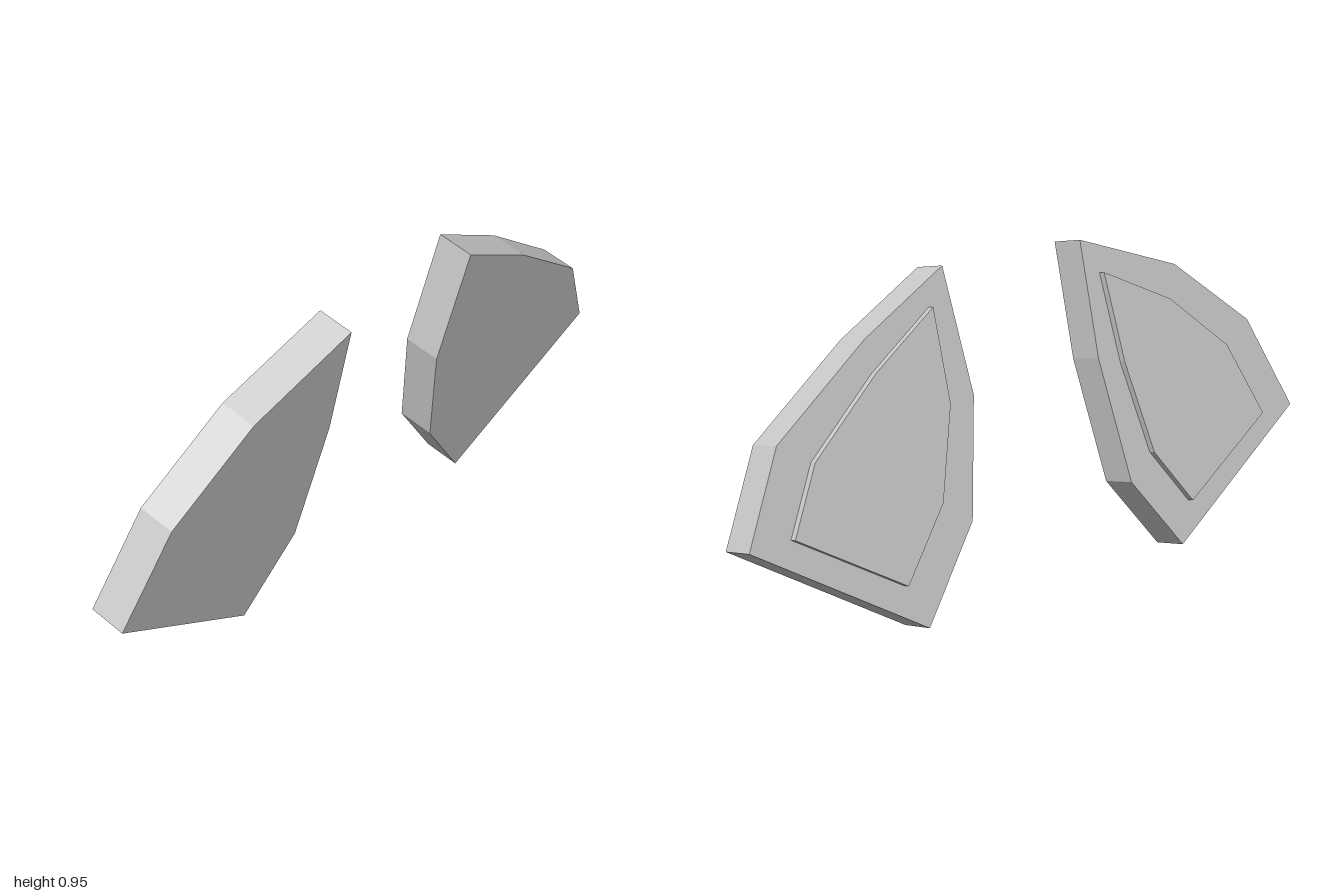
import * as THREE from 'three';

const TILT = THREE.MathUtils.degToRad(12.05);
const THICK = 0.11;  // depth of each main plate
const RAISE = 0.02;  // height of the raised panel on the back

// Outlines as seen from the front, [x, y]
const LEFT = {
  plate: [[0.475, 0.003], [1, 0.32], [0.87, 0.568], [0.55, 0.785], [0.26, 0.935], [0.215, 0.58], [0.28, 0.25]],
  panel: [[0.538, 0.155], [0.87, 0.35], [0.774, 0.53], [0.543, 0.718], [0.325, 0.857], [0.313, 0.597], [0.385, 0.344]],
};
const RIGHT = {
  plate: [[-0.48, 0.018], [-1, 0.335], [-0.86, 0.615], [-0.592, 0.817], [-0.24, 0.935], [-0.25, 0.6], [-0.312, 0.235]],
  panel: [[-0.525, 0.162], [-0.858, 0.358], [-0.744, 0.58], [-0.539, 0.747], [-0.297, 0.858], [-0.33, 0.6], [-0.398, 0.328]],
};

// Slab whose outline lies `depth` behind the front plane; spans local z from back to front
function slab(name, outline, depth, back, front, material) {
  const points = outline.map(([x, y]) =>
    new THREE.Vector2(x, (y - depth * Math.sin(TILT)) / Math.cos(TILT)));
  const geometry = new THREE.ExtrudeGeometry(new THREE.Shape(points), { depth: front - back, bevelEnabled: false });
  geometry.translate(0, 0, back);
  const mesh = new THREE.Mesh(geometry, material);
  mesh.name = name;
  return mesh;
}

export function createModel() {
  const model = new THREE.Group();
  model.name = 'platePair';
  const material = new THREE.MeshStandardMaterial({ color: 0xcccccc, flatShading: true });

  // Two faceted plates leaning forward, each with a raised panel behind
  for (const [side, shape] of [['left', LEFT], ['right', RIGHT]]) {
    const group = new THREE.Group();
    group.name = side + 'Assembly';
    group.add(
      slab(side + 'Plate', shape.plate, 0, -THICK, 0, material),
      slab(side + 'BackPanel', shape.panel, THICK, -THICK - RAISE, -THICK + 0.01, material),
    );
    group.rotation.x = TILT;
    group.position.z = -0.045;
    model.add(group);
  }
  return model;
}
